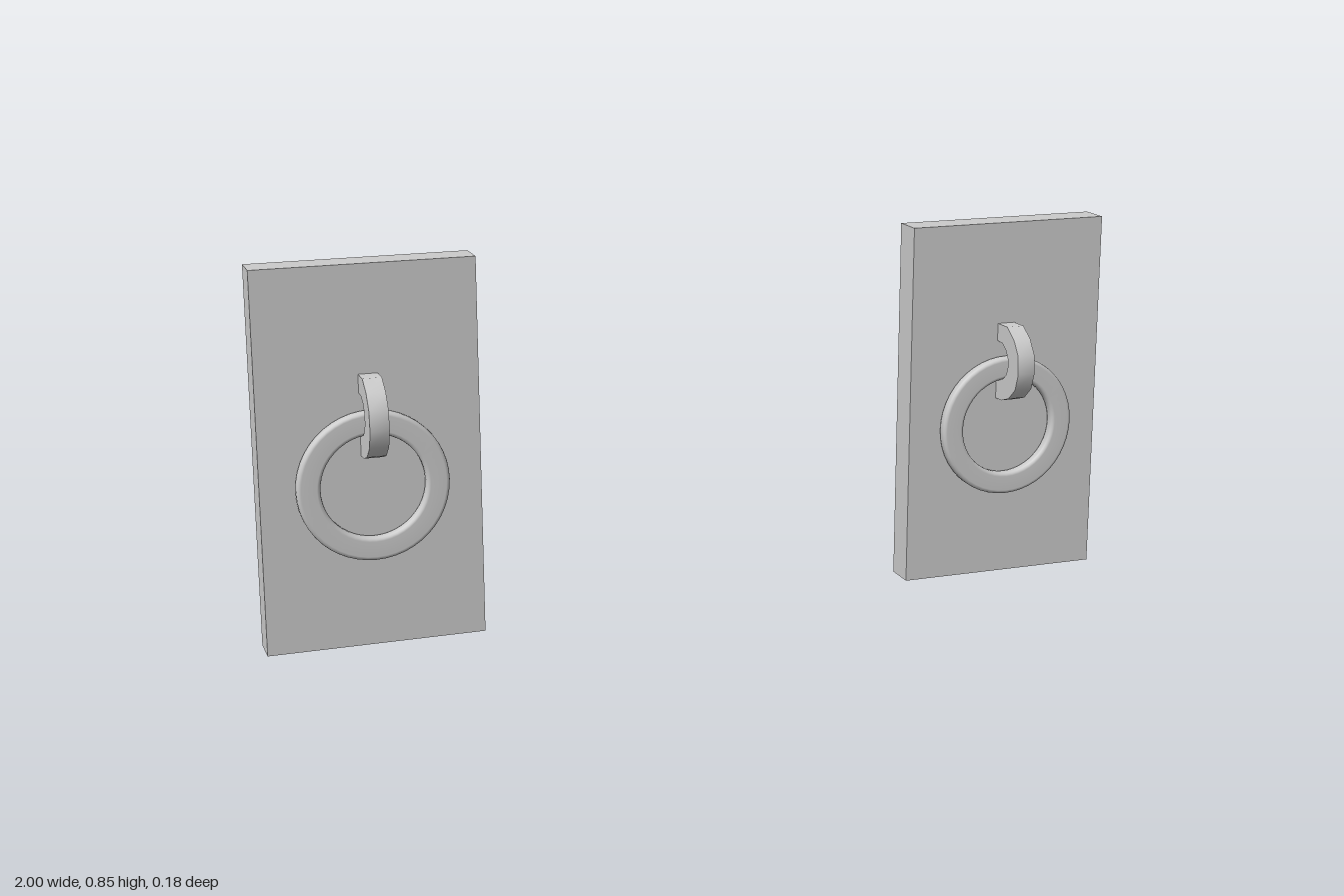
import * as THREE from 'three';
import { toCreasedNormals } from 'three/addons/utils/BufferGeometryUtils.js';

const material = new THREE.MeshStandardMaterial({ color: 0xcccccc });

function part(name, geometry) {
  const mesh = new THREE.Mesh(geometry, material);
  mesh.name = name;
  return mesh;
}

// Flat ring with rounded edges, turned around the z axis
function ringGeometry() {
  const inner = 0.115, outer = 0.167, half = 0.0145, r = 0.009;
  const profile = [];
  const corners = [[outer - r, -half + r, -90], [outer - r, half - r, 0],
    [inner + r, half - r, 90], [inner + r, -half + r, 180]];
  for (const [x, y, start] of corners) {
    for (let i = 0; i <= 3; i++) {
      const a = THREE.MathUtils.degToRad(start + i * 30);
      profile.push(new THREE.Vector2(x + r * Math.cos(a), y + r * Math.sin(a)));
    }
  }
  profile.push(profile[0].clone());
  return new THREE.LatheGeometry(profile, 48).rotateX(Math.PI / 2);
}

// Curved hook: a faceted C outline in the z-y plane, extruded across x
function hookGeometry() {
  const outline = [
    [-0.02, 0.611], [0.029, 0.612], [0.065, 0.588], [0.088, 0.555], [0.092, 0.511],
    [0.079, 0.472], [0.047, 0.444], [0.011, 0.432], [-0.02, 0.431],
    [-0.02, 0.478], [0, 0.479], [0.016, 0.485], [0.032, 0.498], [0.039, 0.517],
    [0.037, 0.539], [0.025, 0.557], [0.007, 0.569], [-0.02, 0.57],
  ];
  const shape = new THREE.Shape(outline.map(([z, y]) => new THREE.Vector2(z, y)));
  const geometry = new THREE.ExtrudeGeometry(shape, { depth: 0.042, bevelEnabled: false });
  geometry.rotateY(-Math.PI / 2).translate(0.021, 0, 0);
  return toCreasedNormals(geometry, 0.75);
}

export function createModel() {
  const model = new THREE.Group();
  model.name = 'ringHandles';

  for (const side of [-1, 1]) {
    const handle = new THREE.Group();
    handle.name = side > 0 ? 'leftHandle' : 'rightHandle';

    // Back plate
    const plate = part('plate', new THREE.BoxGeometry(0.485, 0.85, 0.073));
    plate.position.set(0, 0.425, -0.0545);

    // Hanging ring resting against the plate
    const ring = part('ring', ringGeometry());
    ring.position.set(0, 0.367, -0.0035);

    // Hook holding the ring
    const hook = part('hook', hookGeometry());

    handle.add(plate, ring, hook);
    handle.position.x = side * 0.7575;
    model.add(handle);
  }
  return model;
}
